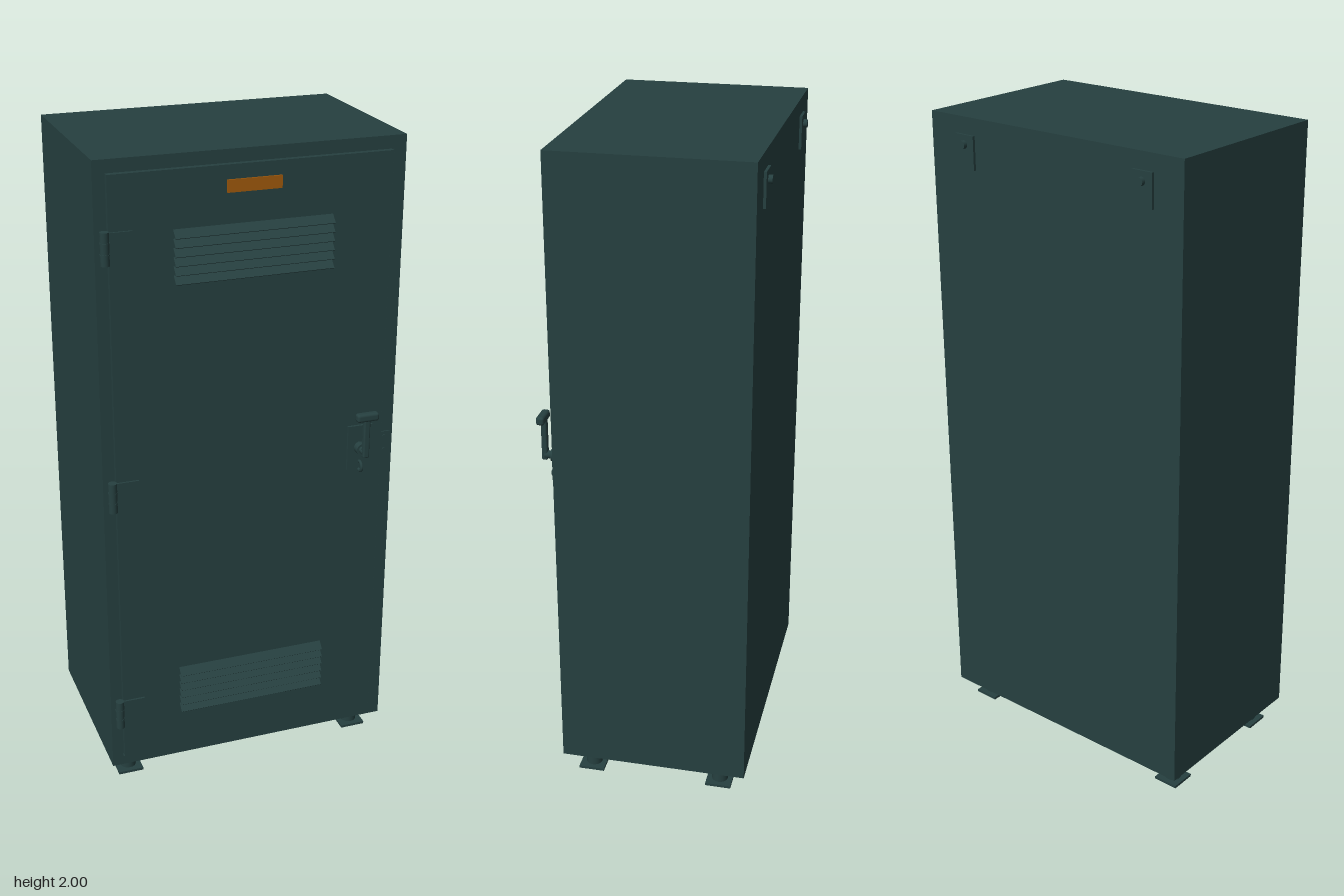
import * as THREE from 'three';
import { RoundedBoxGeometry } from 'three/addons/geometries/RoundedBoxGeometry.js';

export function createModel() {
  const model = new THREE.Group();
  const paint = new THREE.MeshStandardMaterial({ color: 0x264040 });
  paint.name = 'dark green paint';
  const orange = new THREE.MeshStandardMaterial({ color: 0xa05a0c });
  orange.name = 'orange label';

  const add = (name, geometry, x, y, z, parent = model, material = paint) => {
    const mesh = new THREE.Mesh(geometry, material);
    mesh.name = name;
    mesh.position.set(x, y, z);
    parent.add(mesh);
    return mesh;
  };
  const box = (name, w, h, d, x, y, z, parent, material) =>
    add(name, new THREE.BoxGeometry(w, h, d), x, y, z, parent, material);
  const group = (name, x = 0, y = 0, z = 0) => {
    const g = new THREE.Group();
    g.name = name;
    g.position.set(x, y, z);
    model.add(g);
    return g;
  };
  // cylinder lying along z
  const rod = (name, r, length, x, y, z, parent) => {
    const mesh = add(name, new THREE.CylinderGeometry(r, r, length, 20), x, y, z, parent);
    mesh.rotation.x = Math.PI / 2;
    return mesh;
  };
  const rect = (Type, x0, y0, x1, y1) => {
    const p = new Type();
    p.moveTo(x0, y0);
    p.lineTo(x1, y0);
    p.lineTo(x1, y1);
    p.lineTo(x0, y1);
    p.closePath();
    return p;
  };

  // Cabinet shell and front frame around the door
  box('cabinetBody', 0.91, 1.93, 0.56, 0, 1.035, -0.035);
  const frameShape = rect(THREE.Shape, -0.455, 0.07, 0.455, 2);
  frameShape.holes.push(rect(THREE.Path, -0.42, 0.1, 0.418, 1.962));
  add('frontFrame', new THREE.ExtrudeGeometry(frameShape, { depth: 0.017, bevelEnabled: false }), 0, 0, 0.245);
  box('door', 0.832, 1.856, 0.023, -0.001, 1.031, 0.2565);

  // Louvred vents: tilted slats that slope down and outwards
  for (const [name, y] of [['upperVent', 1.72], ['lowerVent', 0.32]]) {
    const vent = group(name, 0, y, 0.278);
    for (let i = 0; i < 6; i++) {
      const slat = box('slat', 0.47, 0.003, 0.03, 0, 0.062 - i * 0.0262, 0, vent);
      slat.rotation.x = Math.PI / 4;
    }
  }

  // Label plate
  box('labelPlate', 0.16, 0.036, 0.006, 0, 1.9, 0.27, model, orange);

  // Hinges
  for (const y of [1.76, 1.015, 0.268]) {
    const hinge = group('hinge', -0.43, y, 0.275);
    add('hingeKnuckle', new THREE.CylinderGeometry(0.013, 0.013, 0.094, 20), 0, 0, 0, hinge);
    box('hingeLeaf', 0.08, 0.085, 0.006, 0.04, 0, -0.004, hinge);
    for (const dy of [-0.016, 0.016]) {
      add('knuckleRing', new THREE.CylinderGeometry(0.0142, 0.0142, 0.004, 20), 0, dy, 0, hinge);
    }
  }

  // Lock plate, turning handle and padlock staple
  const lock = group('lock', 0.343, 1.06, 0);
  box('lockPlate', 0.078, 0.142, 0.008, 0, 0, 0.272, lock);
  rod('handleBoss', 0.019, 0.022, 0, 0, 0.287, lock);
  rod('handleSpindle', 0.012, 0.025, 0, 0, 0.306, lock);
  add('handleArm', new RoundedBoxGeometry(0.02, 0.14, 0.018, 2, 0.005), 0, 0.054, 0.318, lock);
  add('handleGrip', new RoundedBoxGeometry(0.07, 0.026, 0.025, 3, 0.008), 0, 0.118, 0.3215, lock);
  const staple = add('padlockStaple', new THREE.TorusGeometry(0.015, 0.005, 8, 20), 0, -0.06, 0.282, lock);
  staple.rotation.y = Math.PI / 2;

  // Strike plate on the frame
  box('strikePlate', 0.034, 0.075, 0.004, 0.428, 1.058, 0.264);
  for (const dy of [-0.022, 0.022]) rod('strikeScrew', 0.006, 0.003, 0.428, 1.058 + dy, 0.267);

  // Wall brackets with bolts on the back
  for (const side of [-1, 1]) {
    const bracket = group('wallBracket', side * 0.322, 1.9, 0);
    box('bracketPlate', 0.07, 0.1, 0.008, 0, 0, -0.319, bracket);
    rod('bracketBolt', 0.012, 0.014, 0, 0.022, -0.328, bracket);
  }

  // Legs on square pads
  for (const x of [-0.385, 0.385]) {
    for (const z of [0.18, -0.228]) {
      const leg = group('leg', x, 0, z);
      add('legPost', new THREE.CylinderGeometry(0.025, 0.025, 0.07, 24), 0, 0.037, 0, leg);
      box('legPad', 0.08, 0.008, 0.08, 0, 0.004, 0, leg);
    }
  }
  return model;
}
